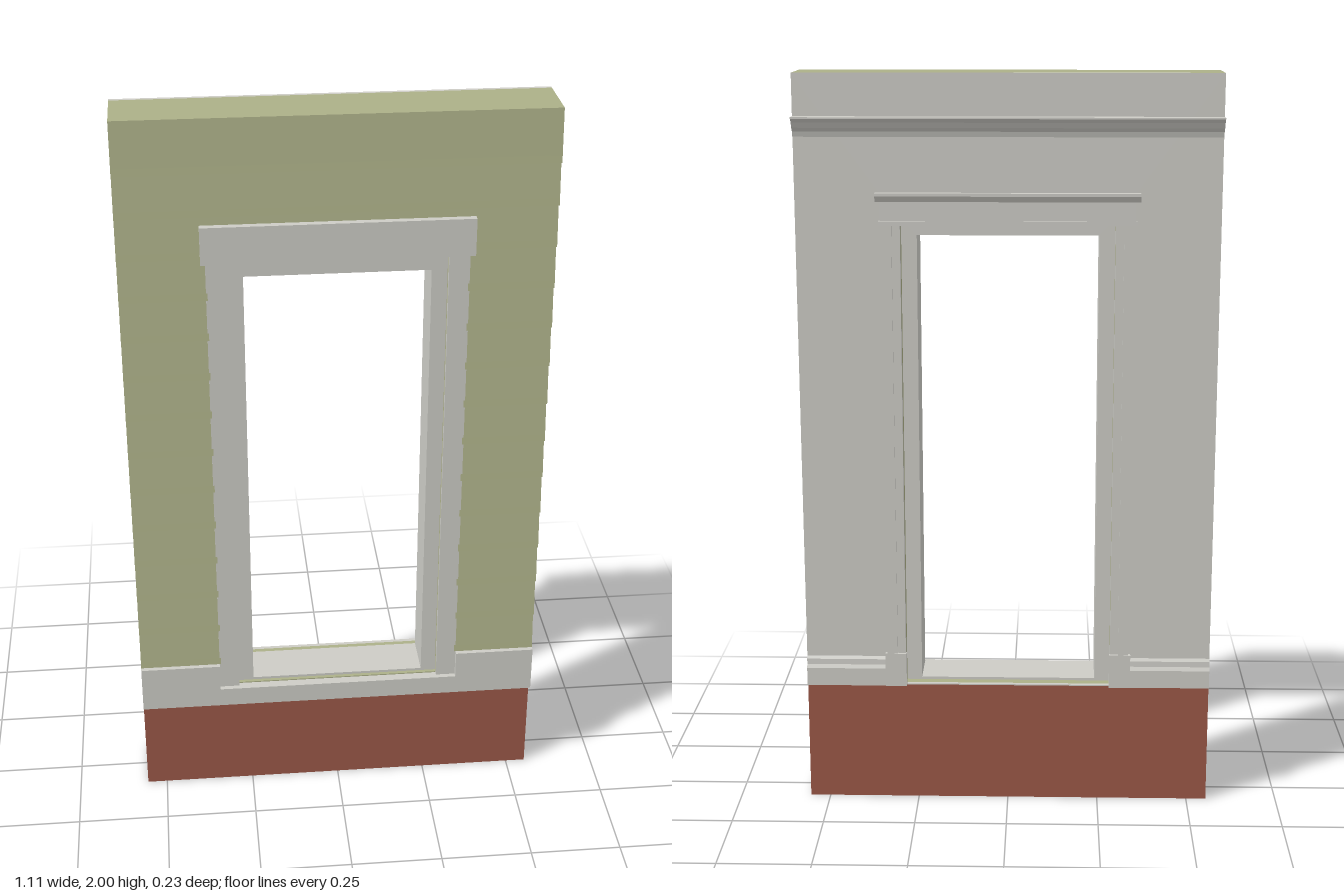
import * as THREE from 'three';

const W = 0.555;            // half width of the wall
const FRONT = 0.09;         // front face of the wall core
const BACK = -0.079;        // room-side face of the wall

const mat = (name, color) => {
  const m = new THREE.MeshStandardMaterial({ color });
  m.name = name;
  return m;
};

export function createModel() {
  const root = new THREE.Group();
  root.name = 'windowWall';
  const green = mat('sage green', 0xacb088);
  const trim = mat('off white trim', 0xcccbc5);
  const brick = mat('red brick', 0x9a5747);

  const add = (name, geo, material) => {
    const m = new THREE.Mesh(geo, material);
    m.name = name;
    root.add(m);
    return m;
  };
  // Box given by its limits
  const box = (name, material, x0, x1, y0, y1, z0, z1) => {
    const m = add(name, new THREE.BoxGeometry(x1 - x0, y1 - y0, z1 - z0), material);
    m.position.set((x0 + x1) / 2, (y0 + y1) / 2, (z0 + z1) / 2);
  };
  // Moulding: a [z, y] profile run along x
  const run = (name, material, profile, x0, x1) => {
    const shape = new THREE.Shape(profile.map(([z, y]) => new THREE.Vector2(-z, y)));
    const geo = new THREE.ExtrudeGeometry(shape, { depth: x1 - x0, bevelEnabled: false });
    geo.rotateY(Math.PI / 2).translate(x0, 0, 0);
    add(name, geo, material);
  };
  // Rectangular plate with a rectangular opening
  const plate = (name, material, [hw, y0, y1], [iw, h0, h1], z0, z1) => {
    const rect = (w, a, b) => [[-w, a], [w, a], [w, b], [-w, b]].map(p => new THREE.Vector2(...p));
    const shape = new THREE.Shape(rect(hw, y0, y1));
    shape.holes.push(new THREE.Path(rect(iw, h0, h1)));
    const geo = new THREE.ExtrudeGeometry(shape, { depth: z1 - z0, bevelEnabled: false });
    geo.translate(0, 0, z0);
    add(name, geo, material);
  };

  // Foundation, wall core and room-side lining
  box('brickFoundation', brick, -W, W, 0, 0.335, BACK + 0.001, FRONT);
  plate('wallCore', green, [W, 0.335, 2], [0.281, 0.338, 1.622], -0.068, FRONT);
  plate('interiorPanel', trim, [W, 0.335, 2], [0.281, 0.338, 1.622], BACK, -0.068);

  // Window lining set into the opening
  plate('windowJamb', trim, [0.281, 0.338, 1.622], [0.24, 0.345, 1.58], -0.045, 0.08);

  // Clapboards, each thicker at its lower edge
  const step = 0.1114;
  for (let i = 0; i < 14; i++) {
    const y0 = 1.862 - i * step;
    const y1 = i === 0 ? 2 : y0 + step;
    const profile = [[FRONT, y0], [0.104, y0], [0.102, y0 + 0.02], [FRONT + 0.002, y1], [FRONT, y1]];
    if (y0 > 1.63) run('clapboard', green, profile, -W, W);
    else {
      run('clapboardRight', green, profile, -W, -0.331);
      run('clapboardLeft', green, profile, 0.331, W);
    }
  }

  // Exterior trim
  box('exteriorHeader', trim, -0.347, 0.347, 1.627, 1.727, FRONT, 0.113);
  box('waterTable', trim, -W, W, 0.28, 0.335, FRONT, 0.116);
  for (const s of [-1, 1]) {
    const side = (name, a, b, ...rest) => box(name, trim, Math.min(s * a, s * b), Math.max(s * a, s * b), ...rest);
    side('waterTableEnd', 0.335, W, 0.335, 0.413, FRONT, 0.116);
    side('exteriorCasing', 0.281, 0.335, 0.335, 1.627, FRONT, 0.102);

    // Interior casing: flat board with a raised outer band, on a plinth block
    side('interiorCasing', 0.281, 0.331, 0.42, 1.61, -0.085, BACK);
    side('interiorCasingBand', 0.303, 0.331, 0.42, 1.61, -0.09, -0.085);
    side('plinthBlock', 0.279, 0.337, 0.335, 0.43, -0.093, BACK);

    // Baseboard with a sloped cap
    const base = [[BACK, 0.335], [-0.09, 0.335], [-0.09, 0.385], [-0.085, 0.395], [-0.084, 0.41], [BACK, 0.418]];
    run('baseboard', trim, base, s < 0 ? -W : 0.337, s < 0 ? -0.337 : W);
  }

  // Interior head casing and its cap
  box('interiorHead', trim, -0.333, 0.333, 1.61, 1.68, -0.088, BACK);
  box('interiorHeadBead', trim, -0.337, 0.337, 1.61, 1.622, -0.092, BACK);
  run('interiorHeadCap', trim,
    [[BACK, 1.672], [-0.09, 1.672], [-0.099, 1.687], [-0.099, 1.695], [BACK, 1.695]], -0.345, 0.345);

  // Crown moulding high on the room side
  run('crownMoulding', trim, [[BACK, 1.838], [-0.083, 1.838], [-0.087, 1.852], [-0.098, 1.862],
    [-0.106, 1.876], [-0.118, 1.886], [-0.118, 1.89], [BACK, 1.89]], -W, W);

  return root;
}
